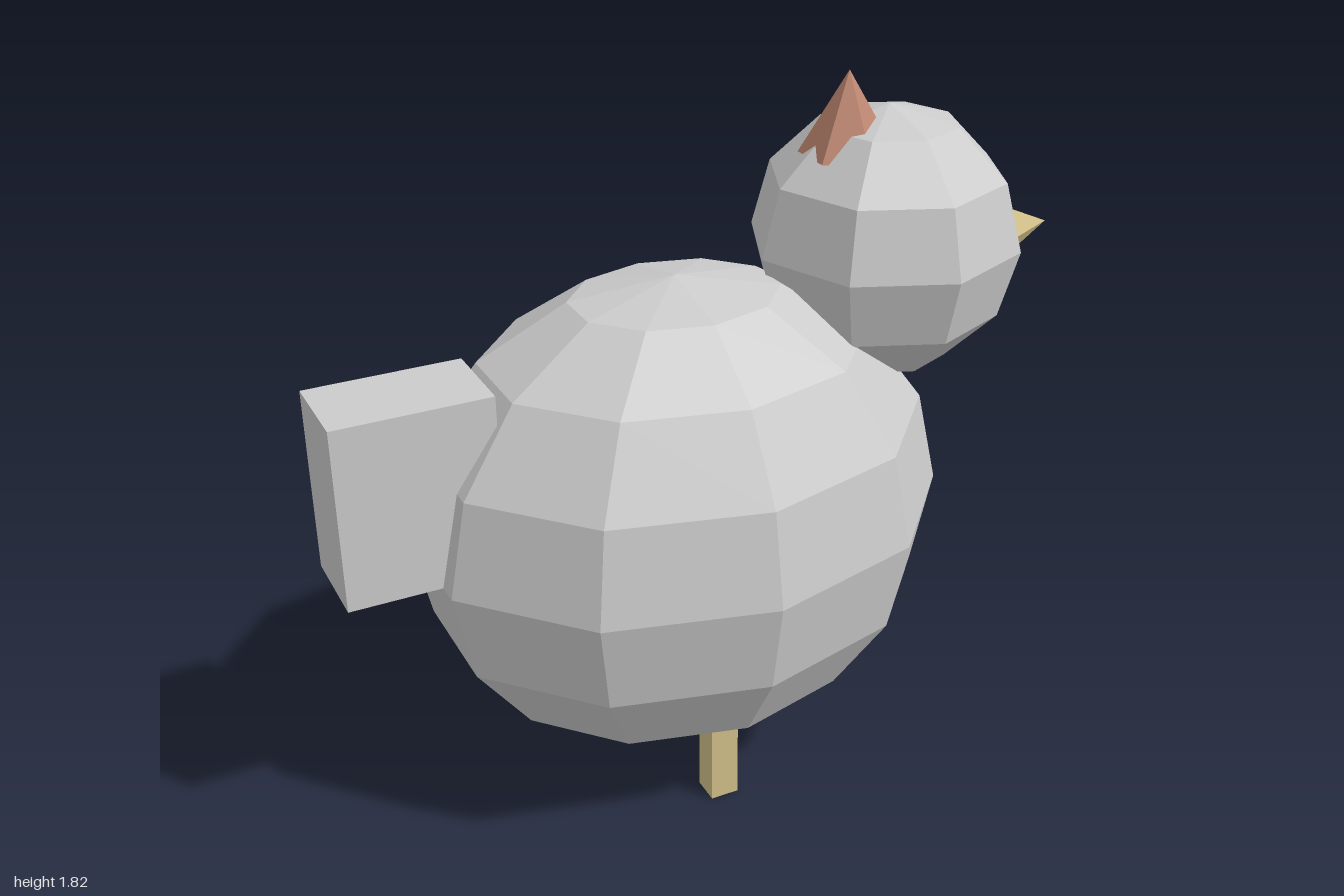
import * as THREE from 'three';

const paint = (color) => new THREE.MeshStandardMaterial({ color, flatShading: true });

export function createModel() {
  const model = new THREE.Group();
  const grey = paint(0xcccccc);
  const tan = paint(0xd2c08a);
  const red = paint(0xbe8670);

  const add = (name, geometry, material, x, y, z) => {
    const mesh = new THREE.Mesh(geometry, material);
    mesh.name = name;
    mesh.position.set(x, y, z);
    model.add(mesh);
  };

  // Ten-sided egg body, a ring vertex pointing to each side
  const body = new THREE.SphereGeometry(1, 10, 8).rotateY(Math.PI / 2).scale(0.704, 0.632, 0.563);
  add('body', body, grey, -0.1, 0.75, 0);

  // Eight-sided head
  add('head', new THREE.SphereGeometry(0.35, 8, 6), grey, 0.488, 1.376, 0);

  // Six-sided cones sunk into the head
  add('beak', new THREE.ConeGeometry(0.103, 0.21, 6).rotateZ(-Math.PI / 2), tan, 0.892, 1.335, 0);
  add('comb', new THREE.ConeGeometry(0.12, 0.205, 6), red, 0.37, 1.72, 0);

  // Block tail
  add('tail', new THREE.BoxGeometry(0.39, 0.47, 0.23), grey, -0.805, 0.985, 0);

  // Legs
  for (const [name, side] of [['leftLeg', 1], ['rightLeg', -1]]) {
    add(name, new THREE.BoxGeometry(0.075, 0.24, 0.075), tan, -0.1, 0.12, side * 0.236);
  }
  return model;
}
